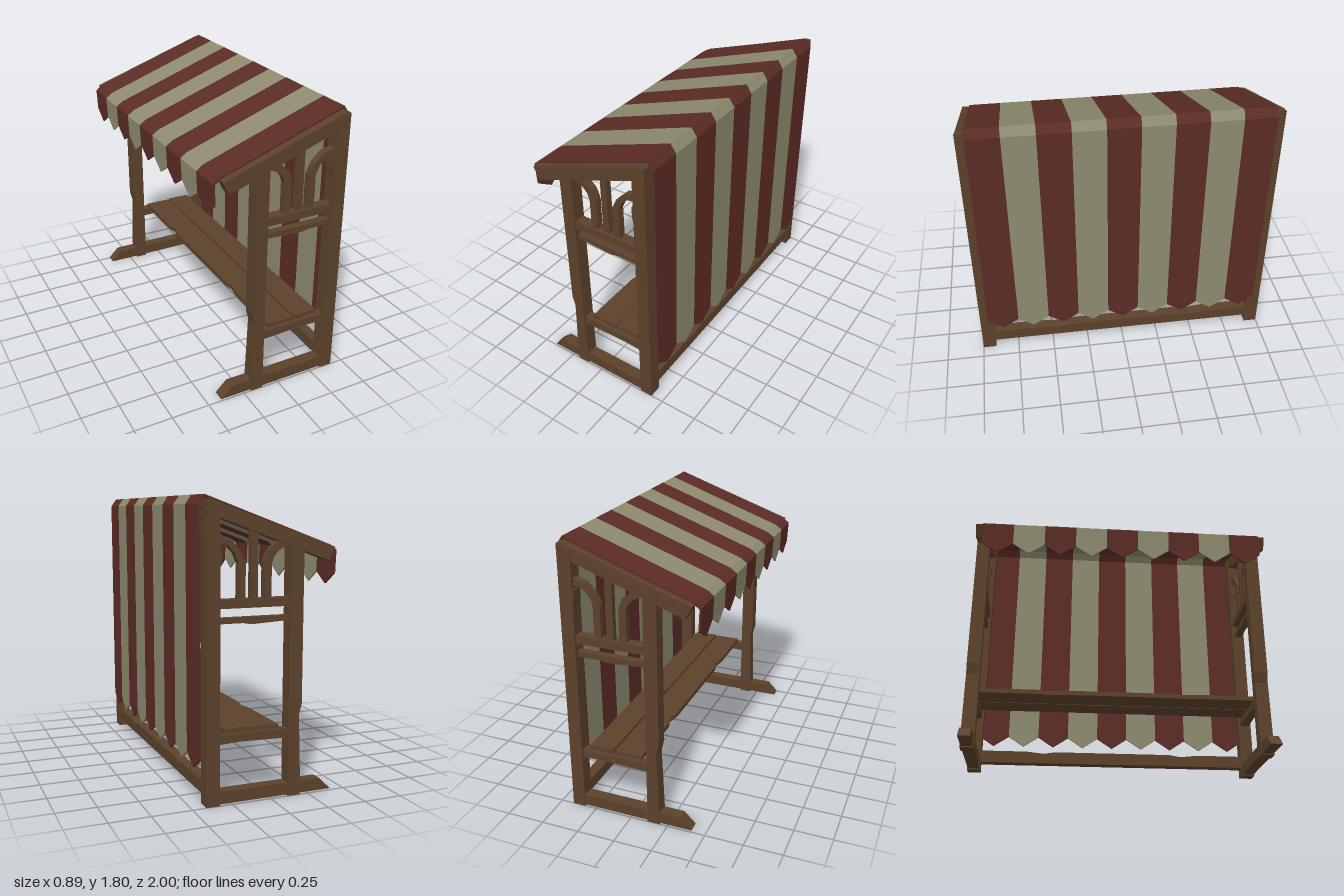
import * as THREE from 'three';

const mat = (color) => new THREE.MeshStandardMaterial({ color, flatShading: true });

export function createModel() {
  const root = new THREE.Group();
  root.name = 'coveredBench';
  const wood = mat(0x5c422b), red = mat(0x5c2c26), cream = mat(0x8e8b6f);

  const slab = (pts, depth) => new THREE.ExtrudeGeometry(
    new THREE.Shape(pts.map(([a, b]) => new THREE.Vector2(a, b))), { depth, bevelEnabled: false });
  const add = (parent, name, geo, material) => {
    const m = new THREE.Mesh(geo, material);
    m.name = name;
    parent.add(m);
    return m;
  };
  // outline in x,y, thick along z around zc
  const sideOn = (pts, depth, zc) => slab(pts, depth).translate(0, 0, zc - depth / 2);
  // outline in z,y, thick along x from x0
  const lengthwise = (pts, depth, x0) => slab(pts, depth).rotateY(-Math.PI / 2).translate(x0 + depth, 0, 0);
  // outline in x,-z, thick along y from y0
  const flat = (pts, depth, y0) => slab(pts, depth).rotateX(-Math.PI / 2).translate(0, y0, 0);
  const rect = (x0, y0, x1, y1) => [[x0, y0], [x1, y0], [x1, y1], [x0, y1]];

  // side frames: name, outline, thickness
  const frameParts = [
    ['backPost', [[0.33, 0], [0.415, 0], [0.415, 1.775], [0.33, 1.745], [0.33, 1.5],
      [0.322, 1.5], [0.322, 1.43], [0.33, 1.39]], 0.088],
    ['frontPost', [[-0.197, 0], [-0.115, 0], [-0.115, 1.56], [-0.2, 1.53], [-0.2, 0.57],
      [-0.182, 0.5], [-0.197, 0.09]], 0.088],
    ['foot', [[-0.41, 0.008], [0.34, 0.008], [0.34, 0.082], [-0.335, 0.082]], 0.076],
    ['seatSupport', [[-0.12, 0.363], [0.2, 0.372], [0.335, 0.365], [0.335, 0.42], [-0.12, 0.42]], 0.06],
    ['lowerRail', [[-0.12, 1.075], [0.13, 1.063], [0.18, 1.072], [0.335, 1.072], [0.335, 1.105],
      [-0.12, 1.105]], 0.05],
    ['upperRail', rect(-0.12, 1.16, 0.335, 1.212), 0.07],
    ['rafter', [[-0.41, 1.5], [-0.37, 1.42], [0.335, 1.675], [0.415, 1.7], [0.412, 1.778], [0.39, 1.778]], 0.076],
    ['middleSlat', rect(0.086, 1.2, 0.13, 1.62), 0.04],
    ['frontBrace', [[0, 1.2], [0.046, 1.2], [0.046, 1.42], [0.02, 1.485], [-0.03, 1.53], [-0.12, 1.56],
      [-0.12, 1.52], [-0.045, 1.485], [-0.015, 1.45], [0, 1.41]], 0.045],
    ['backBrace', [[0.165, 1.2], [0.21, 1.2], [0.21, 1.42], [0.235, 1.475], [0.275, 1.515], [0.335, 1.525],
      [0.335, 1.57], [0.26, 1.55], [0.2, 1.49], [0.165, 1.42]], 0.045],
  ];
  for (const s of [1, -1]) {
    const frame = new THREE.Group();
    frame.name = s > 0 ? 'frontFrame' : 'rearFrame';
    for (const [name, pts, depth] of frameParts) add(frame, name, sideOn(pts, depth, s * 0.956), wood);
    root.add(frame);
  }

  // long ground beam joining the back posts, slightly chipped
  add(root, 'groundBeam', lengthwise([[-0.93, 0.057], [0.93, 0.057], [0.93, 0.137], [0.6, 0.137], [0.48, 0.124],
    [0.4, 0.137], [-0.4, 0.137], [-0.48, 0.124], [-0.6, 0.137], [-0.93, 0.137]], 0.07, 0.338), wood);

  // two seat planks with worn edges
  add(root, 'frontPlank', flat([[-0.065, -0.96], [0.118, -0.96], [0.118, 0.96], [-0.065, 0.96],
    [-0.065, 0.52], [-0.045, 0.46], [-0.065, 0.38], [-0.065, -0.4], [-0.05, -0.46], [-0.065, -0.55]], 0.03, 0.415), wood);
  add(root, 'backPlank', flat([[0.127, -0.96], [0.29, -0.96], [0.29, 0.96], [0.127, 0.96],
    [0.127, 0.2], [0.138, 0.14], [0.127, 0.08]], 0.035, 0.415), wood);

  // striped awning: a folded ribbon for each stripe, ending in a pointed hem on both sides
  const awning = new THREE.Group();
  awning.name = 'awning';
  const ribbon = [[-0.442, 1.34], [-0.448, 1.48], [-0.405, 1.512], [0.405, 1.803], [0.442, 1.75], [0.438, 0.27],
    [0.426, 0.27], [0.43, 1.745], [0.401, 1.788], [-0.4, 1.5], [-0.437, 1.474], [-0.431, 1.34]];
  const count = 9, width = 1.89 / count;
  for (let i = 0; i < count; i++) {
    const z = (i - (count - 1) / 2) * width, cloth = i % 2 ? cream : red;
    const point = (y) => [[z - width / 2, y], [z, y - 0.07], [z + width / 2, y]];
    add(awning, 'stripe', sideOn(ribbon, width, z), cloth);
    add(awning, 'frontHem', lengthwise(point(1.34), 0.011, -0.442), cloth);
    add(awning, 'backHem', lengthwise(point(0.27), 0.012, 0.426), cloth);
  }
  root.add(awning);
  return root;
}
